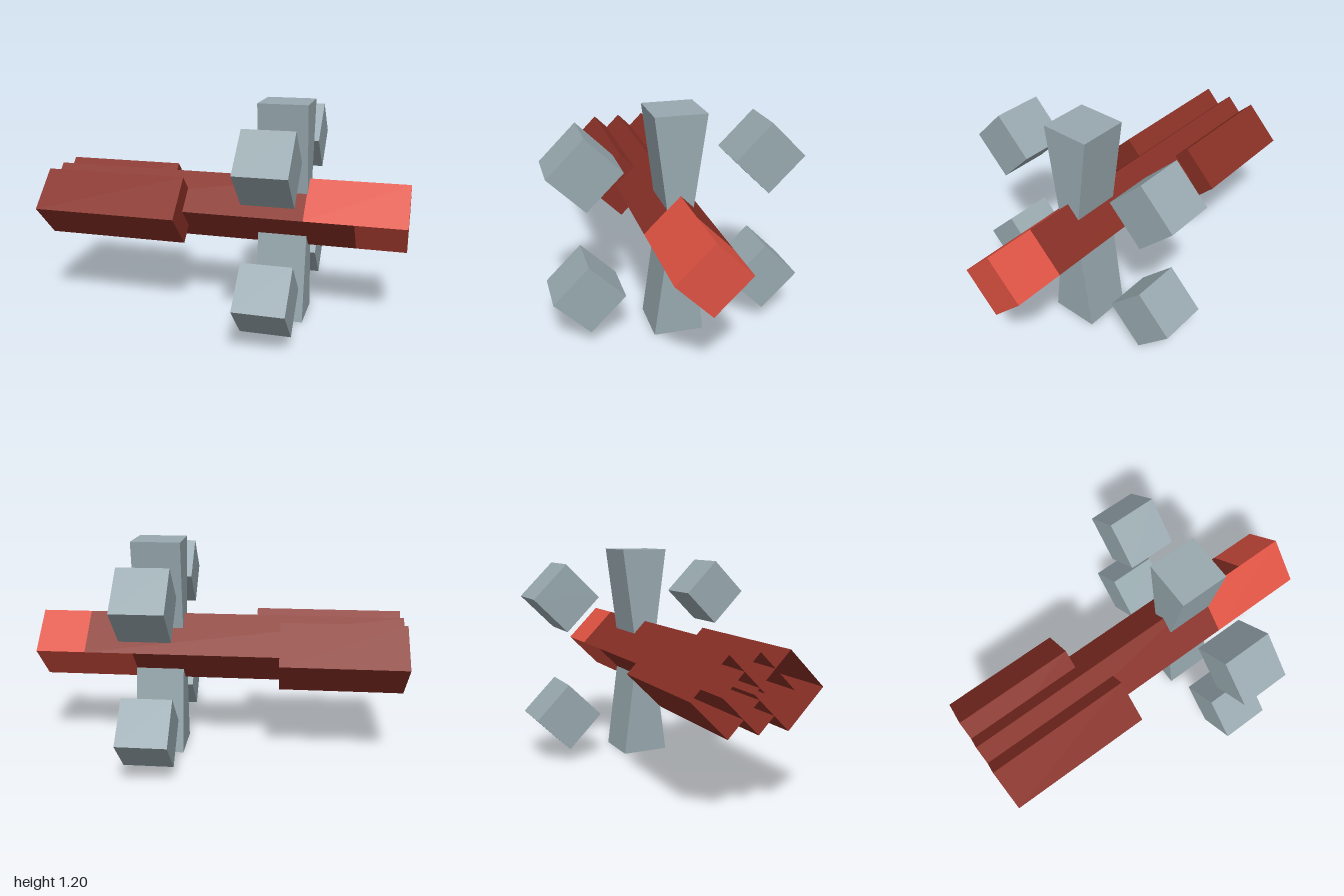
import * as THREE from 'three';
import { mergeGeometries } from 'three/addons/utils/BufferGeometryUtils.js';

const S = 0.265;          // side of every square section
const MID = 0.6;          // height of the long axis
const X0 = 0.2, X1 = 0.467; // extent of the cross of pylons and cubes

function material(name, color, side = THREE.FrontSide) {
  const m = new THREE.MeshStandardMaterial({ color, side });
  m.name = name;
  return m;
}

// One long side of a diamond beam, turned about x by a number of degrees
function sideFace(x0, x1, degrees) {
  return new THREE.PlaneGeometry(x1 - x0, S)
    .translate((x0 + x1) / 2, 0, S / 2)
    .rotateX(THREE.MathUtils.degToRad(degrees));
}

// Square end facing +x
function endFace(x) {
  return new THREE.PlaneGeometry(S, S).rotateY(Math.PI / 2).rotateX(Math.PI / 4).translate(x, 0, 0);
}

export function createModel() {
  const group = new THREE.Group();
  const grey = material('blueGrey', 0x98a9af);
  const darkRed = material('darkRed', 0x872f25, THREE.DoubleSide);
  const brightRed = material('brightRed', 0xde5242, THREE.DoubleSide);

  const add = (name, geometry, mat, x, y, z) => {
    const mesh = new THREE.Mesh(geometry, mat);
    mesh.name = name;
    mesh.position.set(x, y, z);
    group.add(mesh);
    return mesh;
  };

  // Main beam: open at the tail, bright nose with a stepped colour edge
  const sides = [[-45, 0.463], [45, 0.73], [135, 0.463], [-135, 0.73]];
  add('beam', mergeGeometries(sides.map(([a, x]) => sideFace(-1, x, a))), darkRed, 0, MID, 0);
  add('beamNose', mergeGeometries([...sides.map(([a, x]) => sideFace(x, 1, a)), endFace(1)]),
    brightRed, 0, MID, 0);

  // Tail pods of unequal length, open at the tail
  for (const [name, z, end] of [['frontPod', 0.16, -0.2], ['backPod', -0.16, -0.335]]) {
    const faces = sides.map(([a]) => sideFace(-1, end, a));
    add(name, mergeGeometries([...faces, endFace(end)]), darkRed, 0, MID, z);
  }

  // Pylons above and below, narrowing in z toward the beam
  const xc = (X0 + X1) / 2;
  for (const dir of [1, -1]) {
    const geo = new THREE.BoxGeometry(X1 - X0, 0.6, 0.267);
    const p = geo.attributes.position;
    for (let i = 0; i < p.count; i++) {
      if (p.getY(i) * dir < 0) p.setZ(i, p.getZ(i) * 0.4);
    }
    geo.computeVertexNormals();
    add(dir > 0 ? 'upperPylon' : 'lowerPylon', geo, grey, xc, MID + dir * 0.3, 0);
  }

  // Four floating cubes turned on edge
  for (const v of [1, -1]) {
    for (const h of [1, -1]) {
      const cube = add(`${v > 0 ? 'upper' : 'lower'}${h > 0 ? 'Front' : 'Back'}Cube`,
        new THREE.BoxGeometry(X1 - X0, S, S), grey, xc, MID + v * 0.338, h * 0.472);
      cube.rotation.x = Math.PI / 4;
    }
  }
  return group;
}
